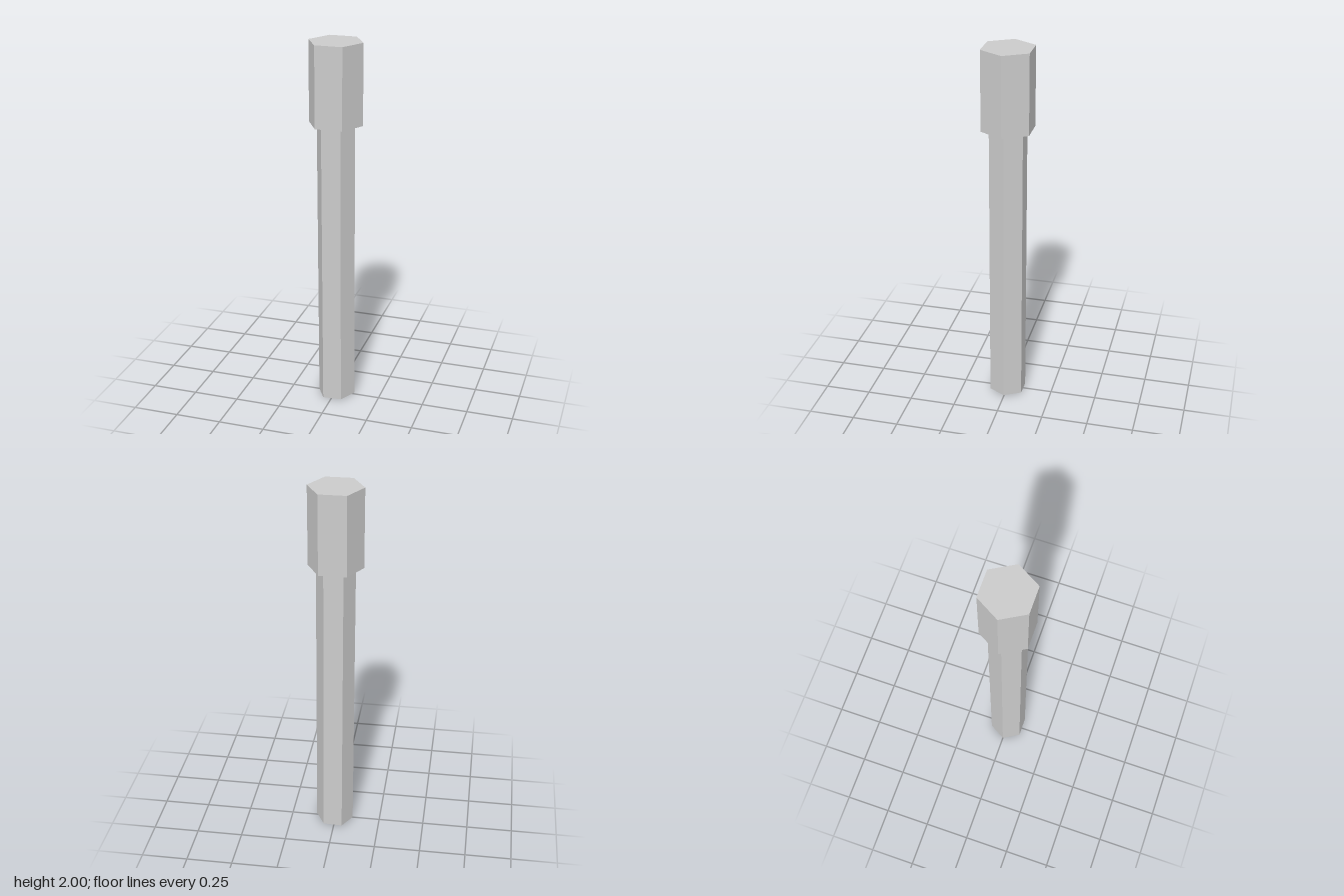
import * as THREE from 'three';

const HEAD_BASE = 1.57;

// Upright six-sided prism with corners pointing along +x and -x
function hexPrism(name, radius, y0, y1) {
  const geometry = new THREE.CylinderGeometry(radius, radius, y1 - y0, 6, 1, false, Math.PI / 6);
  geometry.translate(0, (y0 + y1) / 2, 0);
  const material = new THREE.MeshStandardMaterial({ color: 0xcccccc, flatShading: true });
  const mesh = new THREE.Mesh(geometry, material);
  mesh.name = name;
  return mesh;
}

export function createModel() {
  const group = new THREE.Group();
  group.name = 'hammerPin';

  // Wide head
  const head = hexPrism('head', 0.145, HEAD_BASE, 2);

  // Narrow shaft, leaning slightly toward +x at its foot, with a slightly slanted end
  const shaft = hexPrism('shaft', 0.103, 0, HEAD_BASE);
  const p = shaft.geometry.attributes.position;
  for (let i = 0; i < p.count; i++) {
    if (p.getY(i) < 0.5) {
      const x = p.getX(i);
      p.setXYZ(i, x + 0.006, 0.04 * (x + 0.103), p.getZ(i));
    }
  }
  shaft.geometry.computeVertexNormals();

  group.add(head, shaft);
  return group;
}
